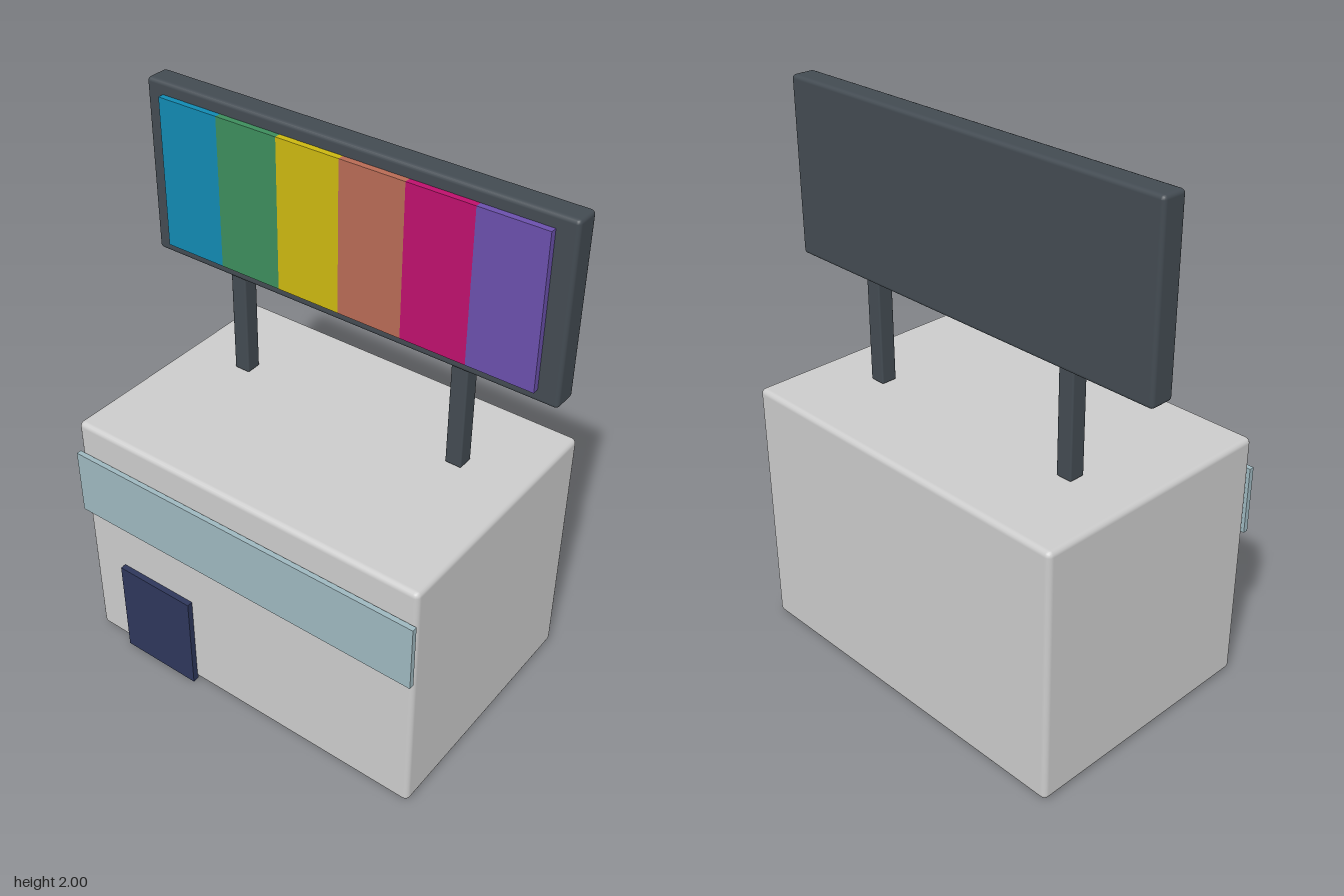
import * as THREE from 'three';
import { RoundedBoxGeometry } from 'three/addons/geometries/RoundedBoxGeometry.js';

const paint = (color) => new THREE.MeshStandardMaterial({ color });

// Box given by its min/max extents; a bevel radius rounds the edges
function block(name, [x0, x1], [y0, y1], [z0, z1], material, bevel = 0) {
  const w = x1 - x0, h = y1 - y0, d = z1 - z0;
  const geometry = bevel
    ? new RoundedBoxGeometry(w, h, d, 2, bevel)
    : new THREE.BoxGeometry(w, h, d);
  const mesh = new THREE.Mesh(geometry, material);
  mesh.name = name;
  mesh.position.set((x0 + x1) / 2, (y0 + y1) / 2, (z0 + z1) / 2);
  return mesh;
}

export function createModel() {
  const model = new THREE.Group();
  model.name = 'shopWithBillboard';
  const dark = paint(0x434b52);

  // Building with its front band and door
  model.add(
    block('building', [-0.705, 0.705], [0.005, 0.967], [-0.49, 0.47], paint(0xcccccc), 0.02),
    block('windowBand', [-0.707, 0.707], [0.588, 0.842], [0.473, 0.492], paint(0x9eb8bf)),
    block('door', [-0.55, -0.228], [0, 0.388], [0.466, 0.492], paint(0x2e375b)),
  );

  // Billboard on two posts
  const billboard = new THREE.Group();
  billboard.name = 'billboard';
  for (const [name, x] of [['rightPost', -0.453], ['leftPost', 0.45]]) {
    billboard.add(block(name, [x - 0.031, x + 0.031], [0.97, 1.37], [-0.167, -0.106], dark, 0.006));
  }
  billboard.add(block('signFrame', [-0.805, 0.805], [1.36, 2], [-0.187, -0.095], dark, 0.014));

  // Coloured strips across the sign face
  const colors = [0x128ab2, 0x3d8d5c, 0xccb811, 0xb86b55, 0xbe116d, 0x6b50ac];
  const left = -0.735, step = 0.2445;
  colors.forEach((color, i) => {
    const x = left + i * step;
    billboard.add(block(`signPanel${i + 1}`, [x, x + step], [1.405, 1.955], [-0.1, -0.072], paint(color)));
  });
  model.add(billboard);
  return model;
}
